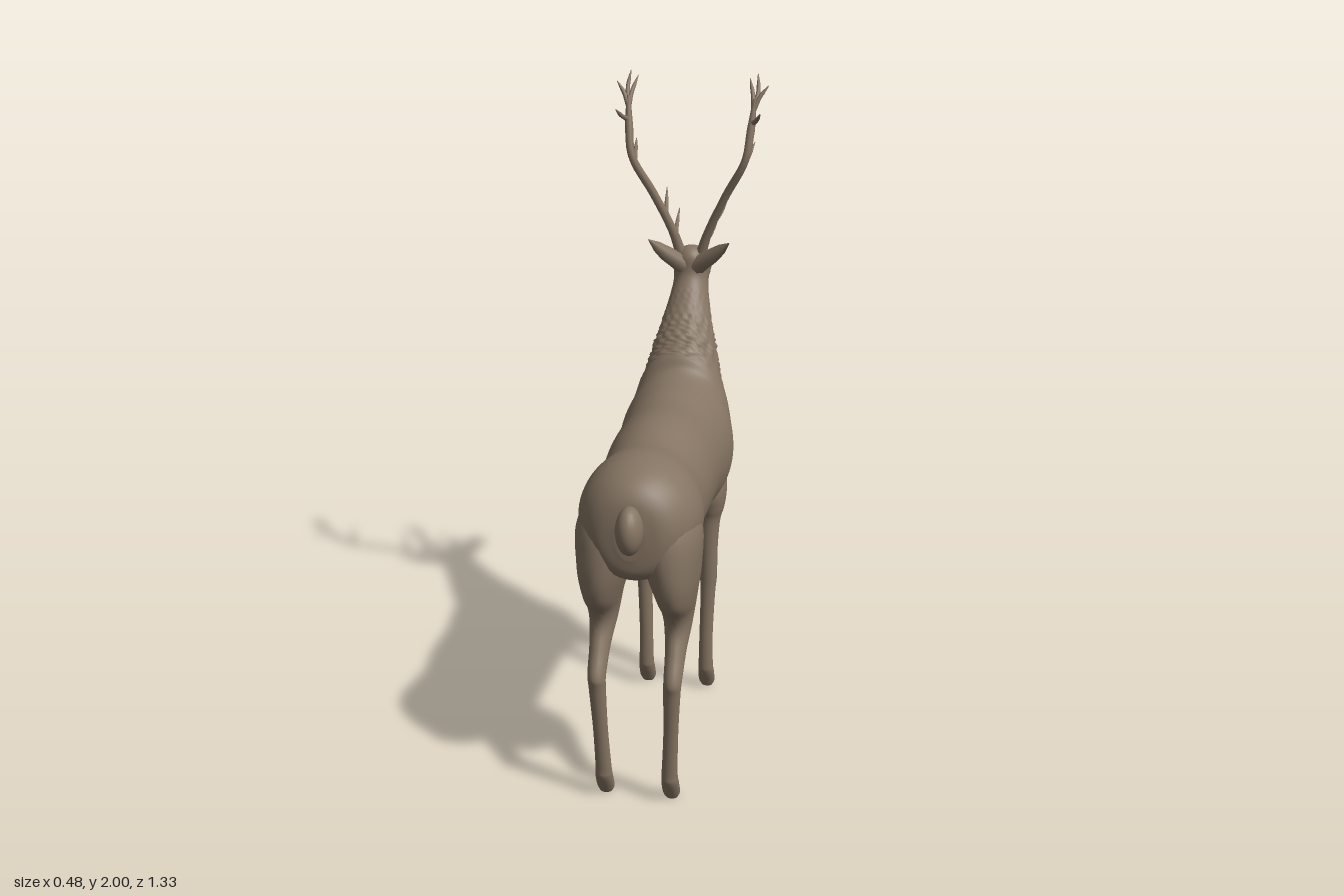
import * as THREE from 'three';

const V = (x, y, z) => new THREE.Vector3(x, y, z);
const hide = new THREE.MeshStandardMaterial({ color: 0x857462 });
hide.name = 'brownHide';

// Closed skin over elliptical rings { c, u, v }: centre and two half axes.
function loft(rings, sides, rule) {
  const first = rings[0], last = rings[rings.length - 1];
  const point = (r) => ({ c: r.c, u: r.u.clone().multiplyScalar(0.01), v: r.v.clone().multiplyScalar(0.01) });
  const all = [point(first), ...rings, point(last)];
  const pos = [], index = [];
  all.forEach((r, i) => {
    for (let j = 0; j < sides; j++) {
      const a = (j / sides) * Math.PI * 2;
      const out = r.u.clone().multiplyScalar(Math.cos(a)).addScaledVector(r.v, Math.sin(a));
      if (rule) out.multiplyScalar(rule(i / (all.length - 1), a));
      out.add(r.c);
      pos.push(out.x, out.y, out.z);
      if (i === all.length - 1) continue;
      const k = (j + 1) % sides, p = i * sides, q = p + sides;
      index.push(p + j, p + k, q + j, p + k, q + k, q + j);
    }
  });
  const g = new THREE.BufferGeometry();
  g.setAttribute('position', new THREE.Float32BufferAttribute(pos, 3));
  g.setIndex(index);
  g.computeVertexNormals();
  return g;
}

const smooth = (pts) => new THREE.CatmullRomCurve3(pts, false, 'catmullrom', 0.5);

// Torso, neck and head: [top z, top y, bottom z, bottom y, half width]
const SPINE = [
  [0.61, 0.95, 0.61, 0.83, 0.04], [0.595, 1.005, 0.6, 0.78, 0.095],
  [0.56, 1.045, 0.57, 0.75, 0.135], [0.5, 1.072, 0.51, 0.73, 0.168],
  [0.42, 1.083, 0.42, 0.7, 0.178], [0.3, 1.07, 0.3, 0.685, 0.162],
  [0.15, 1.088, 0.15, 0.68, 0.167], [0, 1.08, 0, 0.675, 0.17],
  [-0.08, 1.09, -0.1, 0.648, 0.175], [-0.14, 1.1, -0.2, 0.645, 0.18],
  [-0.18, 1.12, -0.29, 0.7, 0.165], [-0.2, 1.15, -0.33, 0.8, 0.148],
  [-0.22, 1.17, -0.345, 0.93, 0.122], [-0.25, 1.205, -0.375, 1.05, 0.102],
  [-0.29, 1.255, -0.4, 1.15, 0.083], [-0.34, 1.32, -0.445, 1.24, 0.065],
  [-0.375, 1.37, -0.48, 1.3, 0.056], [-0.385, 1.43, -0.5, 1.325, 0.058],
  [-0.42, 1.455, -0.52, 1.325, 0.06], [-0.48, 1.44, -0.54, 1.318, 0.05],
  [-0.53, 1.395, -0.57, 1.308, 0.04], [-0.59, 1.365, -0.61, 1.292, 0.033],
  [-0.64, 1.345, -0.645, 1.283, 0.03], [-0.662, 1.325, -0.66, 1.3, 0.018],
];

// Shaggy relief that fades in and out along the neck
function mane(t, a) {
  const fade = Math.max(0, 1 - Math.abs(t - 0.575) / 0.1);
  const n = Math.sin(a * 11 + t * 190) * Math.sin(a * 7 - t * 310 + 1)
    + 0.6 * Math.sin(a * 17 + 3 * Math.sin(t * 260));
  return 1 + fade * (0.03 + 0.055 * n);
}

function bodyGeometry() {
  const top = smooth(SPINE.map((r) => V(0, r[1], r[0])));
  const bottom = smooth(SPINE.map((r) => V(0, r[3], r[2])));
  const width = smooth(SPINE.map((r, i) => V(r[4], i, 0)));
  const rings = [], n = 184;
  for (let i = 0; i <= n; i++) {
    const a = top.getPoint(i / n), b = bottom.getPoint(i / n);
    rings.push({
      c: a.clone().add(b).multiplyScalar(0.5),
      u: a.clone().sub(b).multiplyScalar(0.5),
      v: V(width.getPoint(i / n).x, 0, 0),
    });
  }
  return loft(rings, 72, mane);
}

// Legs, from the top down: [y, x, z, half width, half depth]
const FRONT_LEG = [
  [0.88, 0.09, -0.19, 0.06, 0.07], [0.74, 0.1, -0.18, 0.06, 0.08],
  [0.67, 0.105, -0.173, 0.049, 0.055], [0.62, 0.105, -0.17, 0.036, 0.036],
  [0.52, 0.105, -0.168, 0.029, 0.028], [0.42, 0.105, -0.167, 0.028, 0.025],
  [0.36, 0.104, -0.163, 0.024, 0.021], [0.2, 0.1, -0.157, 0.022, 0.019],
  [0.1, 0.1, -0.157, 0.024, 0.02], [0.07, 0.1, -0.164, 0.026, 0.023],
  [0.025, 0.1, -0.184, 0.026, 0.021], [0.005, 0.1, -0.188, 0.018, 0.015],
];
const HIND_LEG = [
  [0.98, 0.07, 0.47, 0.06, 0.07], [0.88, 0.085, 0.465, 0.095, 0.125],
  [0.76, 0.1, 0.468, 0.08, 0.134], [0.67, 0.108, 0.46, 0.06, 0.12],
  [0.61, 0.11, 0.44, 0.048, 0.09], [0.56, 0.111, 0.45, 0.04, 0.068],
  [0.5, 0.112, 0.497, 0.031, 0.049], [0.43, 0.112, 0.549, 0.027, 0.036],
  [0.38, 0.11, 0.554, 0.025, 0.025], [0.24, 0.105, 0.543, 0.022, 0.02],
  [0.11, 0.1, 0.533, 0.024, 0.02], [0.075, 0.1, 0.526, 0.026, 0.024],
  [0.025, 0.1, 0.502, 0.026, 0.022], [0.005, 0.1, 0.498, 0.018, 0.015],
];

function legGeometry(rows, side) {
  const centre = smooth(rows.map((r) => V(side * r[1], r[0], r[2])));
  const size = smooth(rows.map((r) => V(r[3], 0, r[4])));
  const rings = [], n = rows.length * 5;
  for (let i = 0; i <= n; i++) {
    const s = size.getPoint(i / n);
    rings.push({ c: centre.getPoint(i / n), u: V(s.x, 0, 0), v: V(0, 0, s.z) });
  }
  return loft(rings, 24);
}

// Tube whose radius follows a list, evenly spread along its length
function taper(points, radii, side) {
  const curve = new THREE.CatmullRomCurve3(points.map(([x, y, z]) => V(side * x, y, z)));
  const n = 24, sides = 10;
  const g = new THREE.TubeGeometry(curve, n, 1, sides, false);
  const p = g.attributes.position, q = V(0, 0, 0);
  for (let i = 0; i <= n; i++) {
    const c = curve.getPointAt(i / n);
    const f = (i / n) * (radii.length - 1), k = Math.min(Math.floor(f), radii.length - 2);
    const r = THREE.MathUtils.lerp(radii[k], radii[k + 1], f - k);
    for (let j = 0; j <= sides; j++) {
      const id = i * (sides + 1) + j;
      q.fromBufferAttribute(p, id).sub(c).multiplyScalar(r).add(c);
      p.setXYZ(id, q.x, q.y, q.z);
    }
  }
  return g;
}

const BEAM = [[0.03, 1.42, -0.42], [0.055, 1.5, -0.41], [0.115, 1.63, -0.385],
  [0.178, 1.75, -0.362], [0.19, 1.83, -0.38], [0.198, 1.93, -0.415]];
const TINES = [
  [[0.05, 1.475, -0.415], [0.06, 1.495, -0.5], [0.066, 1.535, -0.59]],
  [[0.075, 1.54, -0.405], [0.09, 1.56, -0.48], [0.102, 1.61, -0.56]],
  [[0.172, 1.73, -0.365], [0.18, 1.75, -0.43], [0.19, 1.78, -0.5]],
  [[0.196, 1.9, -0.405], [0.19, 1.94, -0.43], [0.176, 1.985, -0.465]],
  [[0.196, 1.9, -0.405], [0.215, 1.94, -0.42], [0.238, 1.97, -0.435]],
  [[0.197, 1.91, -0.41], [0.205, 1.95, -0.44], [0.2, 2.0, -0.47]],
  [[0.195, 1.86, -0.39], [0.21, 1.875, -0.365], [0.225, 1.9, -0.34]],
];

export function createModel() {
  const deer = new THREE.Group();
  deer.name = 'deer';
  const add = (name, geometry, parent = deer) => {
    const mesh = new THREE.Mesh(geometry, hide);
    mesh.name = name;
    parent.add(mesh);
    return mesh;
  };

  add('bodyNeckAndHead', bodyGeometry());

  const tail = add('tail', new THREE.SphereGeometry(1, 24, 16));
  tail.scale.set(0.04, 0.072, 0.057);
  tail.position.set(0, 0.92, 0.608);

  // Mirrored parts
  for (const [label, side] of [['left', -1], ['right', 1]]) {
    add(label + 'FrontLeg', legGeometry(FRONT_LEG, side));
    add(label + 'HindLeg', legGeometry(HIND_LEG, side));
    add(label + 'Ear', taper([[0.02, 1.395, -0.41], [0.075, 1.435, -0.39], [0.13, 1.482, -0.375]],
      [0.034, 0.027, 0.024, 0.017, 0.001], side));

    const antler = new THREE.Group();
    antler.name = label + 'Antler';
    add('beam', taper(BEAM, [0.018, 0.014, 0.013, 0.013, 0.012, 0.013, 0.006], side), antler);
    TINES.forEach((t, i) => add('tine' + (i + 1), taper(t, [0.009, 0.007, 0.006, 0.001], side), antler));
    deer.add(antler);
  }
  return deer;
}
